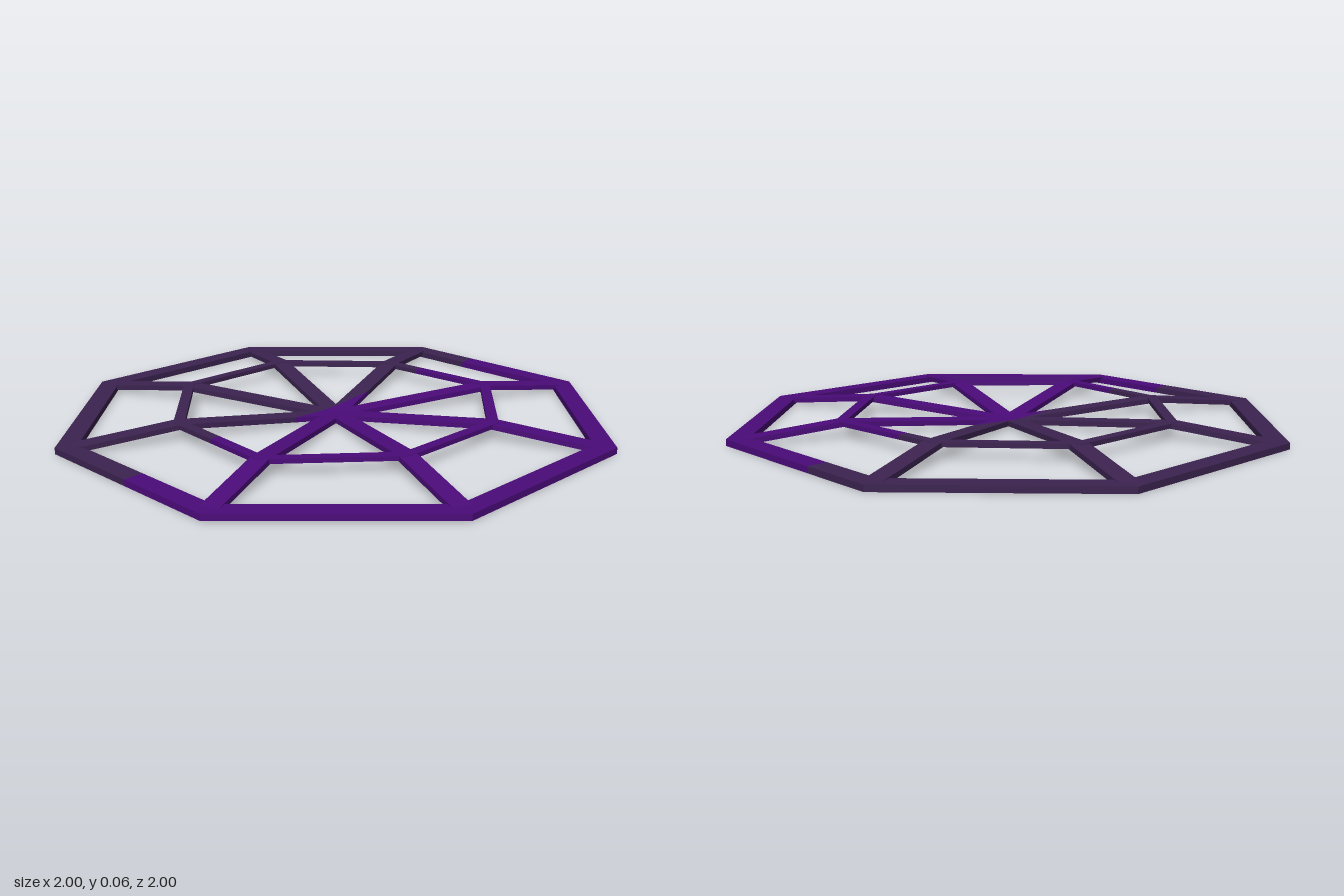
import * as THREE from 'three';

// Two paints, divided by a slanted line across the plan
const indigo = new THREE.MeshStandardMaterial({ color: 0x4b0b7a });
indigo.name = 'indigo';
const duskPurple = new THREE.MeshStandardMaterial({ color: 0x3c2350 });
duskPurple.name = 'dusk purple';
const paintSide = (p) => p.z + 0.49 * p.x + 0.05;

const V = (x, y, z) => new THREE.Vector3(x, y, z);
const polar = (r, i, y) => V(r * Math.cos(i * Math.PI / 4), y, r * Math.sin(i * Math.PI / 4));

// Keep the part of a convex outline on one side of the paint line
function clip(outline, sign) {
  const out = [];
  outline.forEach((a, i) => {
    const b = outline[(i + 1) % outline.length];
    const da = sign * paintSide(a), db = sign * paintSide(b);
    if (da >= 0) out.push(a);
    if (da * db < 0) out.push(a.clone().lerp(b, da / (da - db)));
  });
  return out;
}

// Add a slab of the given thickness standing on a convex outline
function addSlab(positions, outline, thickness) {
  let area = 0;
  outline.forEach((a, i) => {
    const b = outline[(i + 1) % outline.length];
    area += a.z * b.x - a.x * b.z;
  });
  const low = area > 0 ? outline : outline.slice().reverse();
  const high = low.map((p) => V(p.x, p.y + thickness, p.z));
  const tri = (...pts) => pts.forEach((p) => positions.push(p.x, p.y, p.z));
  const n = low.length;
  for (let i = 1; i < n - 1; i++) {
    tri(high[0], high[i], high[i + 1]);
    tri(low[0], low[i + 1], low[i]);
  }
  for (let i = 0; i < n; i++) {
    const j = (i + 1) % n;
    tri(low[i], low[j], high[j]);
    tri(low[i], high[j], high[i]);
  }
}

// One named part: slabs split into the two paints
function makePart(name, outlines, thickness) {
  const part = new THREE.Group();
  part.name = name;
  for (const [sign, material] of [[1, indigo], [-1, duskPurple]]) {
    const positions = [];
    for (const outline of outlines) {
      const piece = clip(outline, sign);
      if (piece.length > 2) addSlab(positions, piece, thickness);
    }
    const geometry = new THREE.BufferGeometry();
    geometry.setAttribute('position', new THREE.Float32BufferAttribute(positions, 3));
    geometry.computeVertexNormals();
    const mesh = new THREE.Mesh(geometry, material);
    mesh.name = `${name} ${material.name}`;
    part.add(mesh);
  }
  return part;
}

// Mitred eight-sided ring from corner radii
function ringOutlines(radii, width, y) {
  const h = width / 2 / Math.cos(Math.PI / 8);
  return radii.map((r, i) => {
    const next = radii[(i + 1) % 8];
    return [polar(r - h, i, y), polar(r + h, i, y), polar(next + h, i + 1, y), polar(next - h, i + 1, y)];
  });
}

// Straight strip between two radii of spoke i
function strip(i, r0, y0, r1, y1, width) {
  const side = polar(width / 2, i + 2, 0);
  const a = polar(r0, i, y0), b = polar(r1, i, y1);
  return [a.clone().add(side), b.clone().add(side), b.clone().sub(side), a.clone().sub(side)];
}

export function createModel() {
  const model = new THREE.Group();
  model.name = 'webFrame';

  // Inner ring is slightly uneven, from +x round towards +z
  const innerRadii = [0.615, 0.58, 0.58, 0.615, 0.58, 0.605, 0.6, 0.58];

  // Outer rim
  model.add(makePart('rim', ringOutlines(Array(8).fill(0.962), 0.07, 0), 0.022));

  // Raised inner ring
  model.add(makePart('innerRing', ringOutlines(innerRadii, 0.038, 0.042), 0.016));

  // Spokes rise from the hub to the inner ring, then fall to the rim
  const spokes = [];
  innerRadii.forEach((r, i) => {
    spokes.push(strip(i, 0, 0.001, r, 0.04, 0.064));
    spokes.push(strip(i, r, 0.04, 0.965, 0.002, 0.064));
  });
  model.add(makePart('spokes', spokes, 0.018));

  return model;
}
